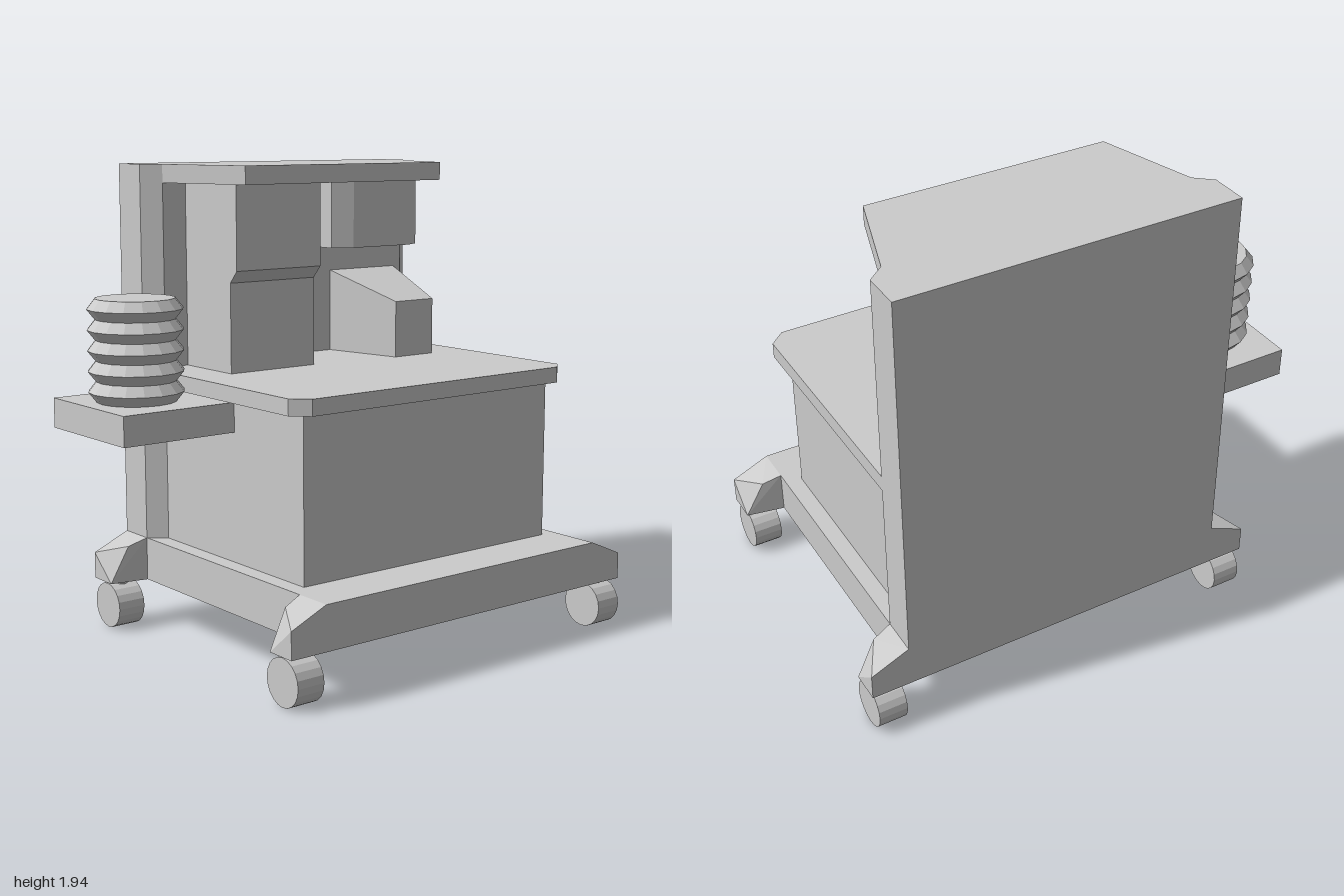
import * as THREE from 'three';
import { ConvexGeometry } from 'three/addons/geometries/ConvexGeometry.js';

const material = new THREE.MeshStandardMaterial({ color: 0xcccccc, flatShading: true, side: THREE.DoubleSide });

export function createModel() {
  const model = new THREE.Group();
  model.name = 'workstationCart';

  const add = (name, geometry) => {
    const mesh = new THREE.Mesh(geometry, material);
    mesh.name = name;
    model.add(mesh);
    return mesh;
  };
  // Box given by its limits on each axis
  const box = (name, x0, x1, y0, y1, z0, z1) =>
    add(name, new THREE.BoxGeometry(x1 - x0, y1 - y0, z1 - z0))
      .position.set((x0 + x1) / 2, (y0 + y1) / 2, (z0 + z1) / 2);
  const extrude = (points, depth) => new THREE.ExtrudeGeometry(
    new THREE.Shape(points.map(([a, b]) => new THREE.Vector2(a, b))), { depth, bevelEnabled: false });
  // Upright prism from an [x, z] outline
  const prism = (name, outline, y0, y1) =>
    add(name, extrude(outline.map(([x, z]) => [x, -z]), y1 - y0).rotateX(-Math.PI / 2).translate(0, y0, 0));
  // Sideways prism from a [z, y] profile
  const sidePrism = (name, profile, x0, x1) =>
    add(name, extrude(profile.map(([z, y]) => [-z, y]), x1 - x0).rotateY(Math.PI / 2).translate(x0, 0, 0));
  const hull = (name, points) => add(name, new ConvexGeometry(points.map(p => new THREE.Vector3(...p))));

  const L = -0.57, R = 0.84, mid = (L + R) / 2;

  // Base slab, cabinet and worktop
  box('base', L, R, 0.2, 0.38, -0.69, 0.69);
  box('cabinet', -0.5, 0.77, 0.38, 1.04, -0.47, 0.465);
  prism('worktop', [[L, -0.53], [R, -0.53], [R, 0.465], [0.775, 0.525], [-0.505, 0.525], [L, 0.465]], 1.04, 1.105);

  // Back panel with chamfered front corners, and canopy
  prism('backPanel', [[L, -0.69], [R, -0.69], [R, -0.53], [0.77, -0.47], [-0.5, -0.47], [L, -0.53]], 0.38, 1.935);
  prism('canopy', [[-0.5, -0.47], [0.77, -0.47], [0.64, -0.06], [-0.38, -0.06]], 1.86, 1.935);

  // Stepped unit on the left of the worktop
  sidePrism('steppedUnit', [[-0.47, 1.105], [-0.155, 1.105], [-0.155, 1.47], [-0.11, 1.52], [-0.11, 1.86], [-0.47, 1.86]], -0.39, 0.03);

  // Box hanging below the canopy
  prism('hangingUnit', [[0.17, -0.47], [0.64, -0.47], [0.64, -0.215], [0.56, -0.17], [0.255, -0.17], [0.17, -0.215]], 1.58, 1.86);

  // Tapered block on the worktop
  hull('taperedBlock', [
    [0.365, 1.105, -0.47], [0.73, 1.105, -0.47], [0.365, 1.46, -0.47], [0.73, 1.46, -0.47],
    [0.44, 1.105, -0.11], [0.65, 1.105, -0.11], [0.44, 1.345, -0.11], [0.65, 1.345, -0.11],
  ]);

  // Side shelf carrying the ribbed bellows
  box('sideShelf', -1, -0.5, 0.905, 1.025, -0.51, 0.02);
  const ribs = 5, pitch = 0.081;
  const profile = [new THREE.Vector2(0, 1.025)];
  for (let i = 0; i <= ribs * 2; i++) {
    profile.push(new THREE.Vector2(i % 2 ? 0.19 : 0.158, 1.025 + i * pitch / 2));
  }
  profile.push(new THREE.Vector2(0, 1.025 + ribs * pitch));
  add('bellows', new THREE.LatheGeometry(profile, 16)).position.set(-0.775, 0, -0.25);

  // Four sloping feet with casters
  for (const sx of [-1, 1]) {
    for (const sz of [-1, 1]) {
      const p = (dx, y, z) => [mid + sx * (0.705 + dx), y, sz * z];
      hull('foot', [
        p(0, 0.2, 0.53), p(0, 0.2, 0.69), p(0, 0.38, 0.53), p(0, 0.38, 0.69),
        p(0.16, 0.2, 0.56), p(0.16, 0.2, 0.69), p(0.16, 0.31, 0.69), p(0.08, 0.352, 0.548),
      ]);
      const x = mid + sx * 0.79, z = sz * 0.615;
      add('casterStem', new THREE.CylinderGeometry(0.035, 0.035, 0.04, 12)).position.set(x, 0.185, z);
      add('casterWheel', new THREE.CylinderGeometry(0.095, 0.095, 0.12, 20).rotateZ(Math.PI / 2)).position.set(x, 0.095, z);
    }
  }
  return model;
}
